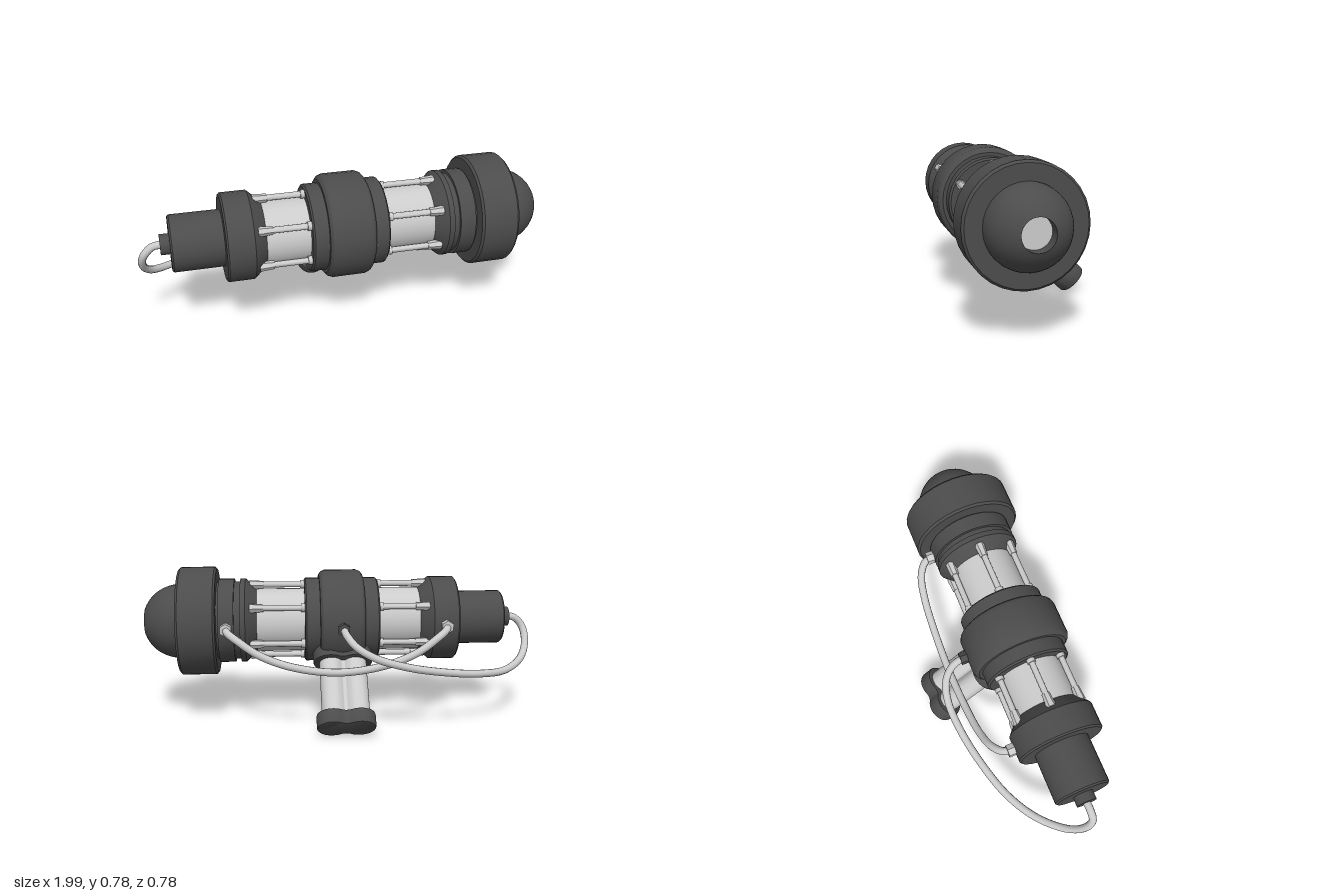
import * as THREE from 'three';
import { toCreasedNormals } from 'three/addons/utils/BufferGeometryUtils.js';

const dark = new THREE.MeshStandardMaterial({ color: 0x4c4c4c });
const light = new THREE.MeshStandardMaterial({ color: 0xcccccc });

function add(parent, name, geometry, material) {
  const mesh = new THREE.Mesh(geometry, material);
  mesh.name = name;
  parent.add(mesh);
  return mesh;
}

// Turned part along x; profile holds [x, radius] pairs from -x to +x
function turned(parent, name, profile, material) {
  const geo = new THREE.LatheGeometry(profile.map(([x, r]) => new THREE.Vector2(r, x)), 32);
  geo.rotateZ(-Math.PI / 2);
  return add(parent, name, toCreasedNormals(geo, 0.45), material);
}

// Outline of two round lobes joined by a pinched waist
function twinLobe(c, r, degrees) {
  const a = THREE.MathUtils.degToRad(degrees);
  const waist = r * Math.sin(a) + ((c + r * Math.cos(a)) / Math.sin(a)) * Math.cos(a);
  const px = c + r * Math.cos(a), py = r * Math.sin(a);
  const s = new THREE.Shape();
  s.absarc(c, 0, r, -a, a, false);
  s.quadraticCurveTo(0, waist, -px, py);
  s.absarc(-c, 0, r, Math.PI - a, Math.PI + a, false);
  s.quadraticCurveTo(0, -waist, px, -py);
  return s;
}

function lobePart(parent, name, [c, r, degrees], from, to, bevel, material) {
  const geo = new THREE.ExtrudeGeometry(twinLobe(c, r - bevel, degrees), {
    depth: to - from - 2 * bevel, curveSegments: 16,
    bevelEnabled: bevel > 0, bevelSize: bevel, bevelThickness: bevel, bevelSegments: 2,
  });
  geo.translate(0, 0, from + bevel);
  add(parent, name, toCreasedNormals(geo, 0.5), material);
}

function cable(parent, name, points) {
  const curve = new THREE.CatmullRomCurve3(points.map(p => new THREE.Vector3(...p)));
  add(parent, name, new THREE.TubeGeometry(curve, 80, 0.019, 10), light);
}

export function createModel() {
  const model = new THREE.Group();
  model.name = 'device';
  const body = new THREE.Group();
  body.name = 'body';
  body.position.set(0, 0.505, 0.113); // all parts are placed around the long axis
  model.add(body);

  // Tail cap and its collar
  turned(body, 'tailCap', [[-0.84, 0], [-0.84, 0.13], [-0.832, 0.138], [-0.58, 0.138]], dark);
  turned(body, 'tailPlug', [[-0.885, 0], [-0.885, 0.05], [-0.83, 0.05]], dark);
  turned(body, 'tailCollar', [[-0.592, 0], [-0.592, 0.207], [-0.584, 0.216], [-0.46, 0.216],
    [-0.45, 0.208], [-0.375, 0.14], [-0.375, 0]], dark);

  // Inner tube seen between the collars
  turned(body, 'innerTube', [[-0.41, 0.162], [0.43, 0.162]], light);

  // Central housing with a raised band
  turned(body, 'centerHousing', [[-0.188, 0], [-0.188, 0.205], [-0.18, 0.215], [-0.112, 0.215],
    [-0.112, 0.232], [-0.1, 0.248], [-0.08, 0.256], [0.08, 0.256], [0.1, 0.248], [0.112, 0.232],
    [0.112, 0.215], [0.18, 0.215], [0.188, 0.205], [0.188, 0]], dark);

  // Front collar with a groove
  turned(body, 'frontCollar', [[0.41, 0], [0.41, 0.14], [0.478, 0.208], [0.486, 0.215], [0.512, 0.215],
    [0.512, 0.2], [0.542, 0.2], [0.542, 0.215], [0.62, 0.215], [0.62, 0.2], [0.64, 0.2]], dark);

  // Wide head ring
  turned(body, 'headRing', [[0.63, 0], [0.63, 0.266], [0.64, 0.277], [0.81, 0.277],
    [0.822, 0.266], [0.822, 0.18]], dark);

  // Dome with a round recess and a light lens at its bottom
  const dome = [];
  for (let i = 0; i <= 12; i++) {
    const a = (i / 12) * Math.acos(0.073 / 0.19);
    dome.push([0.822 + 0.19 * Math.sin(a), 0.19 * Math.cos(a)]);
  }
  dome.push([0.93, 0.073]);
  turned(body, 'dome', dome, dark);
  turned(body, 'lens', [[0.92, 0.074], [0.932, 0.074], [0.932, 0]], light);

  // Six rods on each side of the housing, with end brackets and sleeves
  for (const side of [-1, 1]) {
    const outer = side < 0 ? 0.41 : 0.435;
    for (let i = 0; i < 6; i++) {
      const holder = new THREE.Group();
      holder.name = 'supportRod';
      holder.rotation.x = (i * Math.PI) / 3;
      const piece = (name, r0, r1, center, length, sides) => {
        const geo = new THREE.CylinderGeometry(r1, r0, length, sides);
        geo.rotateZ(-side * Math.PI / 2);
        geo.translate(side * center, 0.184, 0);
        add(holder, name, toCreasedNormals(geo, 0.9), light);
      };
      piece('rod', 0.015, 0.015, (0.17 + outer) / 2, outer - 0.17, 10);
      piece('rodBracket', 0.02, 0.025, outer - 0.005, 0.07, 6);
      piece('rodSleeve', 0.022, 0.022, 0.195, 0.025, 8);
      body.add(holder);
    }
  }

  // Twin-barrel handle slanting down and back
  const handle = new THREE.Group();
  handle.name = 'handle';
  handle.rotation.x = (3 * Math.PI) / 4;
  body.add(handle);
  lobePart(handle, 'handleCollar', [0.066, 0.083, 115], 0.15, 0.268, 0.008, dark);
  lobePart(handle, 'handleGrip', [0.06, 0.058, 140], 0.2, 0.6, 0, light);
  lobePart(handle, 'handleCap', [0.066, 0.078, 122], 0.557, 0.635, 0.01, dark);

  // Cable sockets on the back of the body
  for (const [x, z] of [[-0.52, -0.225], [0.58, -0.225], [0, -0.265]]) {
    const geo = new THREE.CylinderGeometry(0.032, 0.032, 0.05, 6);
    geo.rotateX(Math.PI / 2);
    const socket = add(body, 'cableSocket', toCreasedNormals(geo, 0.5), x === 0 ? dark : light);
    socket.position.set(x, 0, z);
  }

  // Short cable linking both collars behind the housing
  cable(body, 'linkCable', [[-0.52, 0, -0.22], [-0.51, -0.01, -0.265], [-0.46, -0.04, -0.306],
    [-0.36, -0.105, -0.33], [-0.2, -0.165, -0.342], [0.03, -0.195, -0.348], [0.26, -0.165, -0.342],
    [0.42, -0.105, -0.33], [0.52, -0.04, -0.306], [0.57, -0.01, -0.265], [0.58, 0, -0.22]]);

  // Long cable looping from the tail to the housing
  cable(body, 'tailCable', [[-0.87, 0, 0], [-0.92, -0.005, 0.002], [-0.965, -0.05, 0],
    [-0.975, -0.12, -0.04], [-0.94, -0.19, -0.11], [-0.83, -0.232, -0.22], [-0.68, -0.225, -0.31],
    [-0.5, -0.2, -0.37], [-0.3, -0.16, -0.41], [-0.14, -0.11, -0.416], [-0.05, -0.06, -0.385],
    [-0.008, -0.015, -0.325], [0, 0, -0.26]]);

  return model;
}
